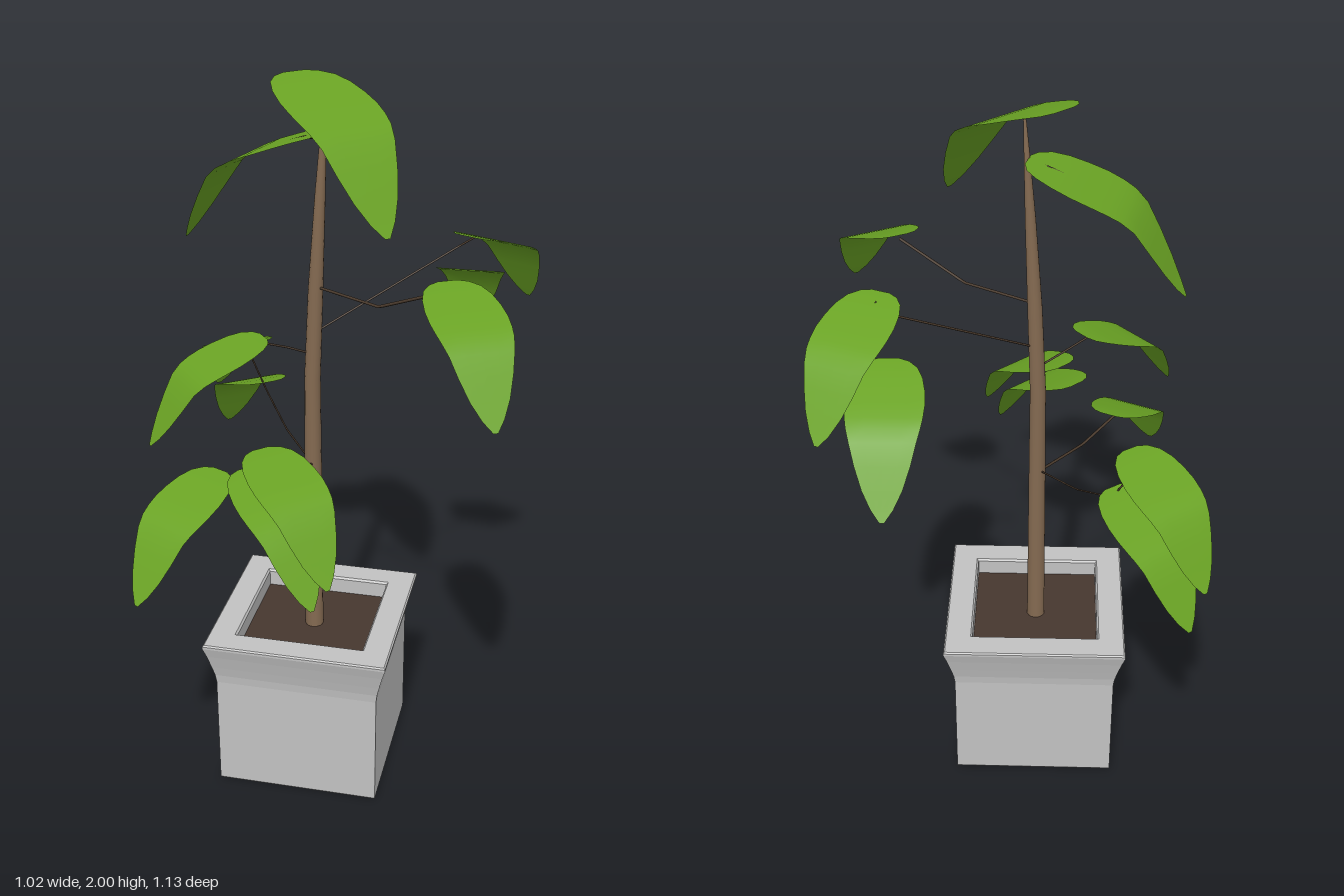
import * as THREE from 'three';

const mat = (name, color, extra = {}) => {
  const m = new THREE.MeshStandardMaterial({ color, ...extra });
  m.name = name;
  return m;
};

// Leaf cross-sections: [distance along, drop, half width], all as fractions
const LEAF = [
  [0, 0, 0.25], [0.03, 0.01, 0.52], [0.1, 0.03, 0.75], [0.2, 0.07, 0.9], [0.32, 0.125, 0.98],
  [0.44, 0.18, 1], [0.54, 0.235, 0.97], [0.62, 0.29, 0.92], [0.7, 0.38, 0.83], [0.79, 0.56, 0.69],
  [0.88, 0.75, 0.5], [0.95, 0.9, 0.28], [1, 1, 0.06],
];

// Drooping leaf blade lofted from its base point to its tip point
function leafGeometry(base, tip) {
  const a = new THREE.Vector3(...base);
  const span = new THREE.Vector3(...tip).sub(a);
  const drop = span.y;
  span.y = 0;
  const side = new THREE.Vector3(span.z, 0, -span.x).multiplyScalar(0.29);
  const pos = [], index = [], cols = 4;
  LEAF.forEach(([t, d, w], i) => {
    for (let j = 0; j <= cols; j++) {
      const u = (j / cols) * 2 - 1;
      const p = a.clone().addScaledVector(span, t).addScaledVector(side, u * w);
      pos.push(p.x, p.y + drop * d, p.z);
      if (i && j) {
        const k = i * (cols + 1) + j, b = k - cols - 1;
        index.push(b - 1, k - 1, b, b, k - 1, k);
      }
    }
  });
  const g = new THREE.BufferGeometry();
  g.setAttribute('position', new THREE.Float32BufferAttribute(pos, 3));
  g.setIndex(index);
  g.computeVertexNormals();
  return g;
}

// Square solid of revolution: profile of [half width, height]
function squareLathe(profile) {
  const pts = profile.map(([h, y]) => new THREE.Vector2(h * Math.SQRT2, y));
  const g = new THREE.LatheGeometry(pts, 4, Math.PI / 4).toNonIndexed();
  g.computeVertexNormals();
  return g;
}

export function createModel() {
  const root = new THREE.Group();
  root.name = 'pottedPlant';
  const potGrey = mat('potGrey', 0xc2c2c2);
  const soilBrown = mat('soilBrown', 0x46372f);
  const barkBrown = mat('barkBrown', 0x846a51);
  const stemBrown = mat('stemBrown', 0x4a3a2c);
  const leafGreen = mat('leafGreen', 0x6aa324, { side: THREE.DoubleSide });

  const add = (name, geometry, material, x = 0, y = 0, z = 0) => {
    const m = new THREE.Mesh(geometry, material);
    m.name = name;
    m.position.set(x, y, z);
    root.add(m);
    return m;
  };
  const PX = -0.06, PZ = 0.045;

  // Square pot with flared rim and recessed inside
  add('pot', squareLathe([
    [0, 0], [0.226, 0], [0.23, 0.005], [0.23, 0.34], [0.233, 0.365], [0.24, 0.395],
    [0.25, 0.435], [0.259, 0.465], [0.259, 0.472], [0.255, 0.476],
    [0.185, 0.476], [0.18, 0.47], [0.18, 0.4],
  ]), potGrey, PX, 0, PZ);

  // Soil
  const soil = add('soil', new THREE.PlaneGeometry(0.36, 0.36), soilBrown, PX, 0.425, PZ);
  soil.rotation.x = -Math.PI / 2;

  // Tapering trunk, leaning toward +x near the top
  const trunkProfile = [[0.026, 0.42], [0.024, 0.9], [0.022, 1.2], [0.02, 1.45],
    [0.014, 1.7], [0.008, 1.86], [0.004, 1.955], [0, 1.957]];
  const trunk = new THREE.LatheGeometry(trunkProfile.map((p) => new THREE.Vector2(...p)), 14);
  const tp = trunk.attributes.position;
  for (let i = 0; i < tp.count; i++) {
    const lean = Math.max(0, (tp.getY(i) - 1.2) / 0.75);
    tp.setX(i, tp.getX(i) + 0.038 * Math.pow(lean, 1.2));
  }
  trunk.computeVertexNormals();
  add('trunk', trunk, barkBrown, PX, 0, 0.04);

  // Thin branches as bent paths
  const branches = [
    [0.004, [-0.05, 1.46, 0.04], [0.14, 1.46, 0.155], [0.32, 1.545, 0.245]],
    [0.003, [-0.055, 1.33, 0.04], [0.29, 1.525, -0.165], [0.34, 1.56, -0.16]],
    [0.003, [-0.06, 1.27, 0.04], [-0.12, 1.295, 0.07], [-0.2, 1.325, 0.12]],
    [0.004, [-0.06, 0.93, 0.04], [-0.19, 0.93, 0.19], [-0.28, 0.985, 0.26]],
    [0.004, [-0.06, 0.945, 0.04], [-0.06, 0.985, 0.17], [-0.07, 1.04, 0.36]],
    [0.0025, [-0.06, 0.94, 0.04], [-0.17, 0.97, -0.1], [-0.26, 1.03, -0.22], [-0.33, 1.16, -0.25]],
    [0.004, [-0.03, 1.85, 0.04], [-0.08, 1.845, 0.015], [-0.12, 1.83, 0.005]],
  ];
  for (const [r, ...pts] of branches) {
    const path = new THREE.CurvePath();
    for (let i = 1; i < pts.length; i++) {
      path.add(new THREE.LineCurve3(new THREE.Vector3(...pts[i - 1]), new THREE.Vector3(...pts[i])));
    }
    add('branch', new THREE.TubeGeometry(path, 24, r, 6), stemBrown);
  }

  // Leaves: base point, tip point
  const leaves = {
    crownLeaf: [[-0.115, 2.0, -0.02], [0.185, 1.68, 0.285]],
    upperRightLeaf: [[-0.03, 1.86, 0.025], [-0.43, 1.54, -0.065]],
    leftBackLowLeaf: [[0.305, 1.44, -0.225], [0.3, 1.18, -0.56]],
    leftBackHighLeaf: [[0.33, 1.57, -0.12], [0.465, 1.31, -0.432]],
    leftFrontLeaf: [[0.32, 1.565, 0.22], [0.485, 1.31, 0.515]],
    rightMiddleLeaf: [[-0.175, 1.335, 0.105], [-0.43, 1.09, 0.315]],
    rightLowLeaf: [[-0.265, 1.0, 0.24], [-0.41, 0.74, 0.54]],
    frontHighLeaf: [[-0.13, 1.115, 0.32], [0.1, 0.865, 0.56]],
    frontLowLeaf: [[-0.17, 1.055, 0.32], [0.06, 0.8, 0.56]],
    rightBackHighLeaf: [[-0.3, 1.18, -0.215], [-0.49, 0.925, -0.485]],
    rightBackLowLeaf: [[-0.26, 1.06, -0.215], [-0.46, 0.8, -0.485]],
  };
  for (const [name, [base, tip]] of Object.entries(leaves)) {
    add(name, leafGeometry(base, tip), leafGreen);
  }
  return root;
}
